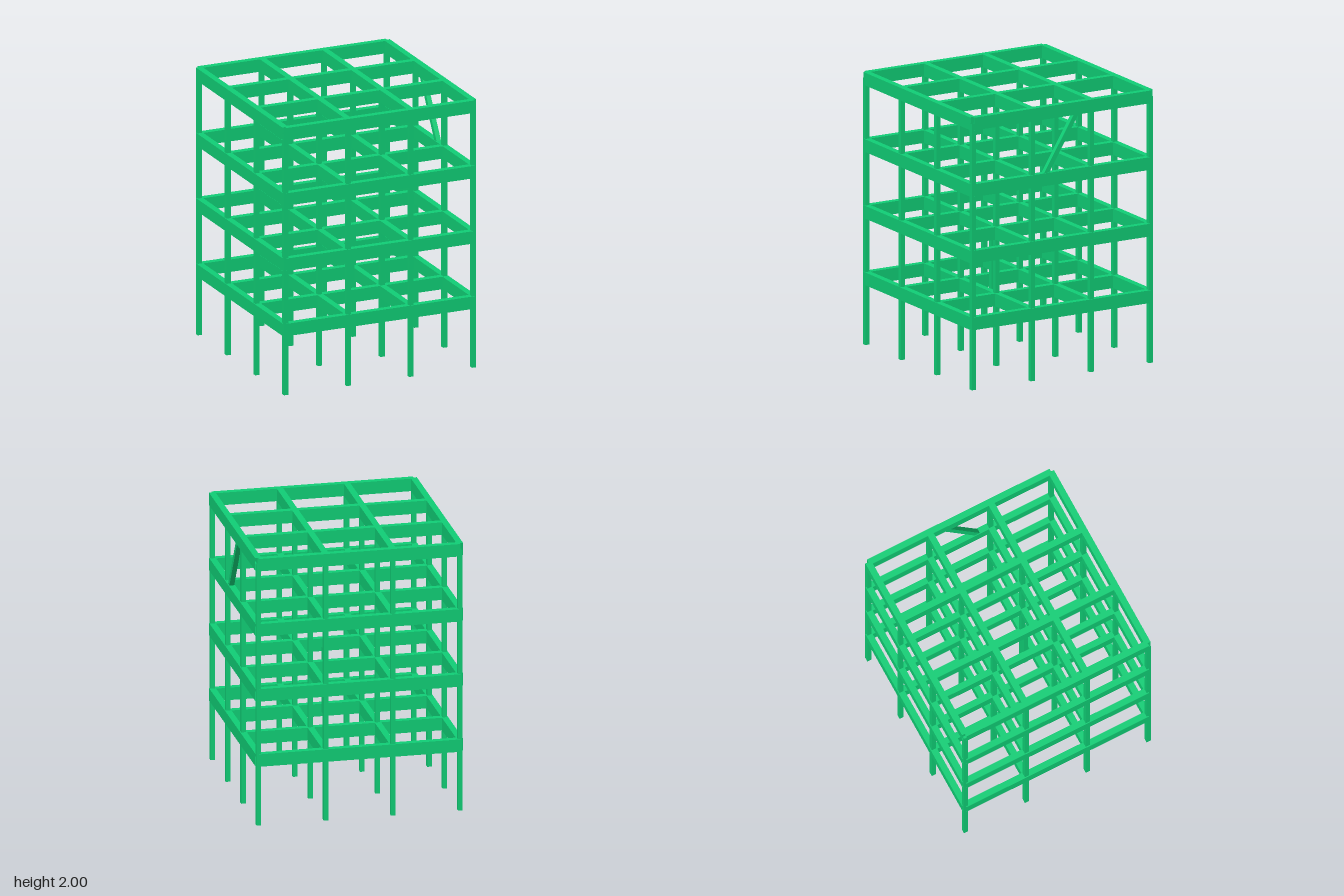
import * as THREE from 'three';

const BAY = 0.4884;                      // grid spacing and storey height
const AXES = [-1.5, -0.5, 0.5, 1.5].map(n => n * BAY);
const STOREYS = 4;
const COLUMN = 0.033;                    // square column section
const BEAM_W = 0.0465, BEAM_H = 0.093;   // beam section

const material = new THREE.MeshStandardMaterial({ color: 0x10cf76, side: THREE.DoubleSide });

// Open-ended rectangular member along y: section w (x) by d (z)
function memberGeometry(w, d, length) {
  const g = new THREE.CylinderGeometry(Math.SQRT1_2, Math.SQRT1_2, 1, 4, 1, true, Math.PI / 4).toNonIndexed();
  g.scale(w, length, d);
  g.computeVertexNormals();
  return g;
}

// Member running between two points
function member(name, w, d, from, to) {
  const axis = new THREE.Vector3().subVectors(to, from);
  const mesh = new THREE.Mesh(memberGeometry(w, d, axis.length()), material);
  mesh.name = name;
  mesh.position.addVectors(from, to).multiplyScalar(0.5);
  mesh.quaternion.setFromUnitVectors(new THREE.Vector3(0, 1, 0), axis.normalize());
  return mesh;
}

const v = (x, y, z) => new THREE.Vector3(x, y, z);

export function createModel() {
  const model = new THREE.Group();
  model.name = 'buildingFrame';
  const edge = AXES[3], top = STOREYS * BAY;

  // Columns on every grid crossing
  const columns = new THREE.Group();
  columns.name = 'columns';
  for (const x of AXES) for (const z of AXES)
    columns.add(member('column', COLUMN, COLUMN, v(x, 0, z), v(x, top, z)));
  model.add(columns);

  // Crossing beams at each floor
  for (let level = 1; level <= STOREYS; level++) {
    const floor = new THREE.Group();
    floor.name = 'floorBeams' + level;
    const y = level * BAY;
    for (const a of AXES) {
      floor.add(member('crossBeam', BEAM_H, BEAM_W, v(-edge, y, a), v(edge, y, a)));
      floor.add(member('sideBeam', BEAM_W, BEAM_H, v(a, y, -edge), v(a, y, edge)));
    }
    model.add(floor);
  }

  // Single offset post in the second storey
  model.add(member('offsetPost', COLUMN, COLUMN, v(0.047, BAY, 0.159), v(0.047, 2 * BAY, 0.159)));

  // Diagonal brace in the left wall of the top storey
  model.add(member('diagonalBrace', 0.035, 0.035, v(edge, 3 * BAY, 0.16), v(edge, top, -0.14)));

  return model;
}
